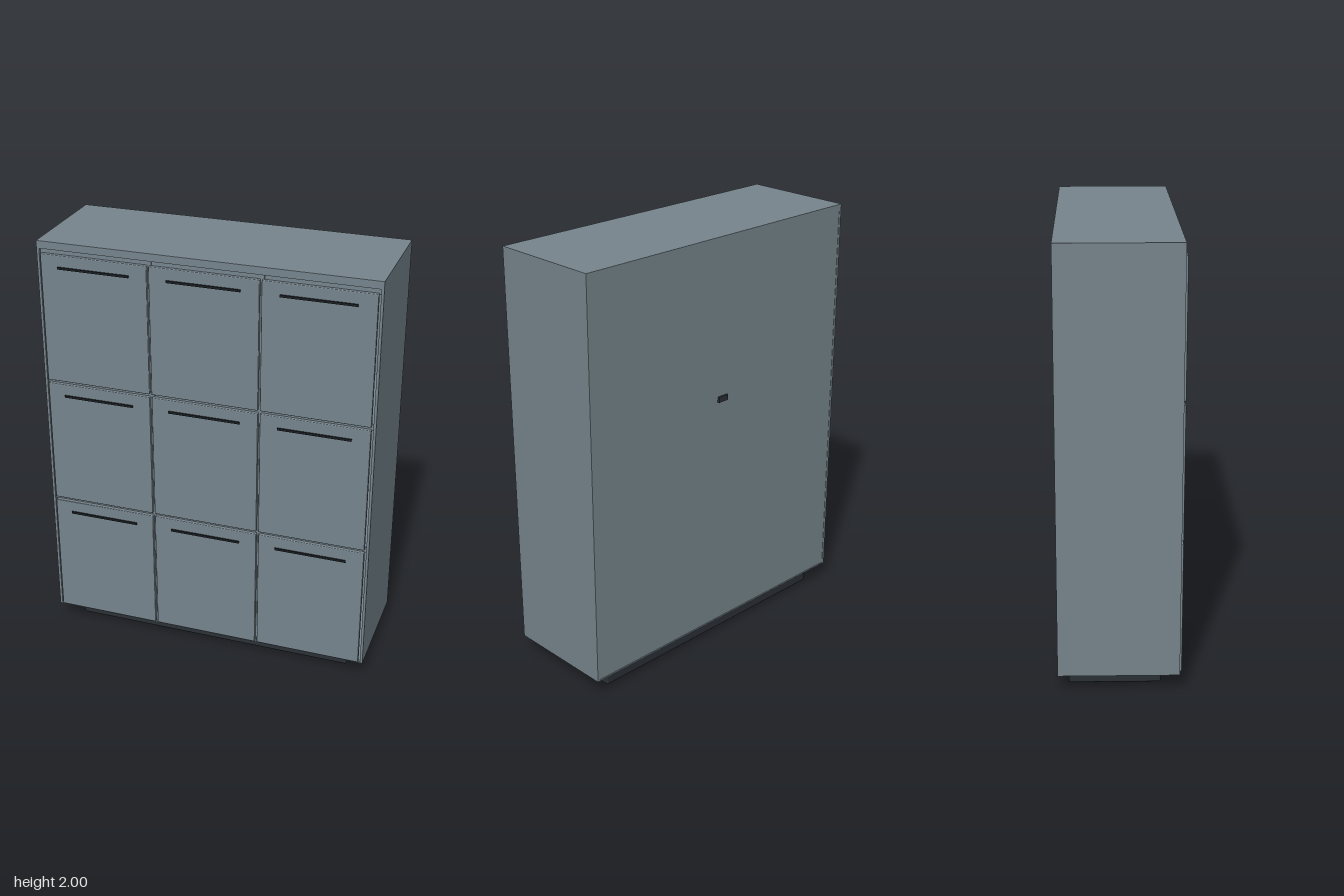
import * as THREE from 'three';
import { RoundedBoxGeometry } from 'three/addons/geometries/RoundedBoxGeometry.js';

const steel = new THREE.MeshStandardMaterial({ color: 0x76848c });
const dark = new THREE.MeshStandardMaterial({ color: 0x2a3036 });
const black = new THREE.MeshStandardMaterial({ color: 0x1a1f24 });

// Box given by its lower and upper corners; a radius softens the edges
function block(parent, name, [x0, y0, z0], [x1, y1, z1], material, radius = 0) {
  const size = [x1 - x0, y1 - y0, z1 - z0];
  const geometry = radius
    ? new RoundedBoxGeometry(...size, 2, radius)
    : new THREE.BoxGeometry(...size);
  const mesh = new THREE.Mesh(geometry, material);
  mesh.name = name;
  mesh.position.set((x0 + x1) / 2, (y0 + y1) / 2, (z0 + z1) / 2);
  parent.add(mesh);
  return mesh;
}

export function createModel() {
  const model = new THREE.Group();
  model.name = 'lockerCabinet';

  const W = 0.78, back = -0.273, front = 0.264, bottom = 0.085, top = 2;
  const inner = 0.768, inset = 0.252;

  // Outer shell
  const carcass = new THREE.Group();
  carcass.name = 'carcass';
  model.add(carcass);
  block(carcass, 'topPanel', [-W, 1.965, back], [W, top, front], steel);
  block(carcass, 'bottomPanel', [-inner, bottom, back], [inner, 0.092, front], steel);
  block(carcass, 'rightSide', [-W, bottom, back], [-inner, 1.965, front], steel);
  block(carcass, 'leftSide', [inner, bottom, back], [W, 1.965, front], steel);
  block(carcass, 'backPanel', [-inner, 0.092, back + 0.002], [inner, 1.965, back + 0.014], steel);

  // Dividers and shelves just behind the doors
  for (const x of [-0.255, 0.255])
    block(carcass, 'divider', [x - 0.012, 0.092, back + 0.014], [x + 0.012, 1.965, inset], steel);
  for (const y of [0.706, 1.327, 1.95])
    block(carcass, 'shelf', [-inner, y - 0.014, back + 0.014], [inner, y + 0.014, inset - 0.001], steel);

  // Nine doors, each with a slim pull
  const columns = [-0.51, 0, 0.51];
  const rows = [[0.093, 0.699], [0.714, 1.32], [1.335, 1.945]];
  for (const [y0, y1] of rows) {
    for (const x of columns) {
      const locker = new THREE.Group();
      locker.name = 'locker';
      model.add(locker);
      block(locker, 'door', [x - 0.25, y0, 0.253], [x + 0.25, y1, 0.274], steel, 0.004);
      const y = y1 - 0.057;
      block(locker, 'handle', [x - 0.168, y - 0.005, 0.27], [x + 0.168, y + 0.005, 0.281], black);
    }
  }

  // Cable outlet on the back
  block(model, 'backOutlet', [-0.028, 1.232, -0.281], [0.028, 1.258, -0.26], dark);

  // Recessed plinth
  block(model, 'plinth', [-0.685, 0, -0.225], [0.685, 0.086, 0.185], dark, 0.008);

  return model;
}
